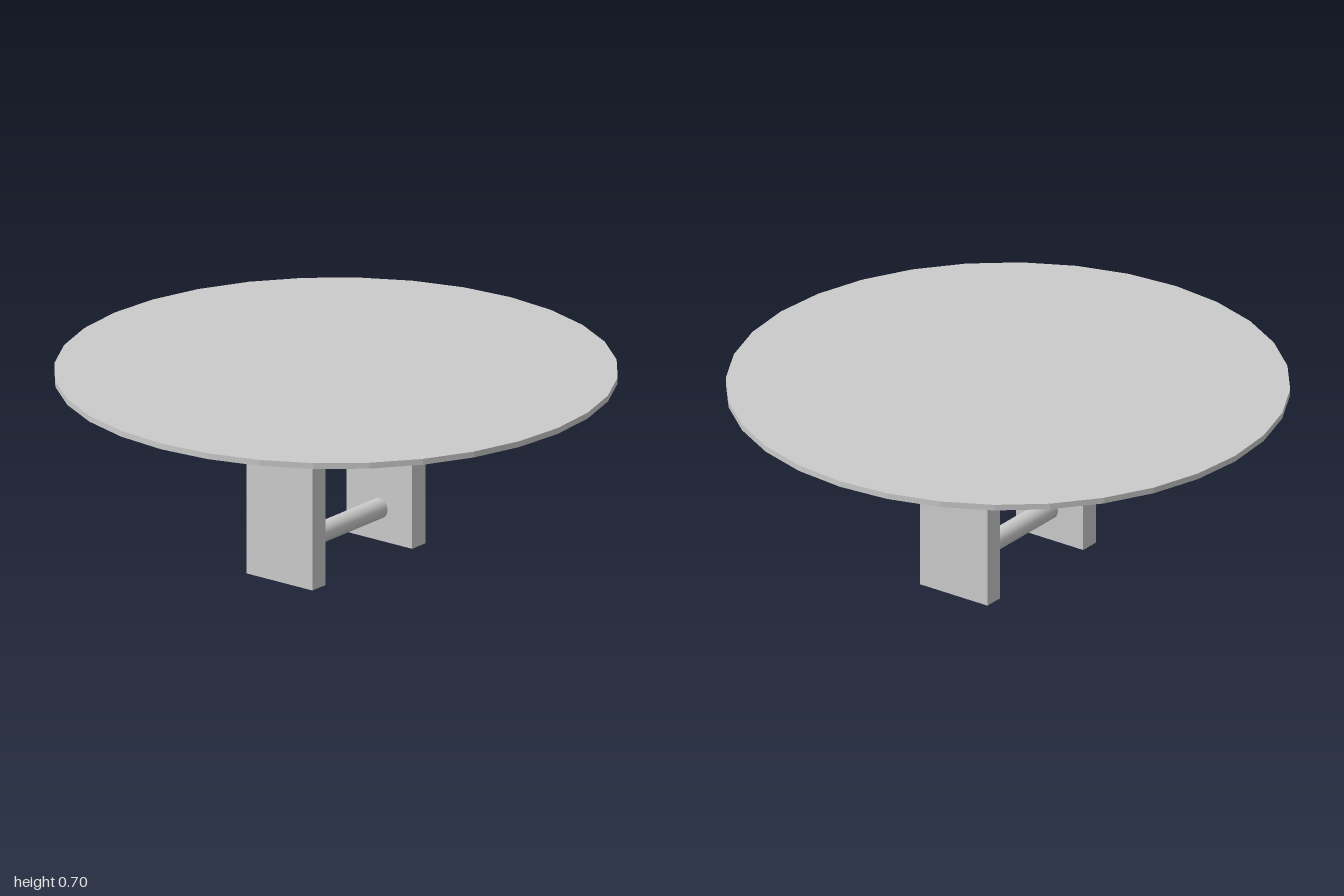
import * as THREE from 'three';

export function createModel() {
  const group = new THREE.Group();
  const flat = new THREE.MeshStandardMaterial({ color: 0xcccccc, flatShading: true });
  const smooth = new THREE.MeshStandardMaterial({ color: 0xcccccc });

  const add = (name, geometry, material, x, y, z) => {
    const mesh = new THREE.Mesh(geometry, material);
    mesh.name = name;
    mesh.position.set(x, y, z);
    group.add(mesh);
    return mesh;
  };

  const topHeight = 0.705, topThickness = 0.022;
  const legHeight = topHeight - topThickness;
  const legWidth = 0.296, legDepth = 0.075, legZ = 0.285;

  // Thin round table top with 32 straight edge facets
  add('tableTop', new THREE.CylinderGeometry(1, 1, topThickness, 32), flat,
    0, topHeight - topThickness / 2, 0);

  // Two slab legs, front and back
  for (const [name, side] of [['frontLeg', 1], ['backLeg', -1]]) {
    add(name, new THREE.BoxGeometry(legWidth, legHeight, legDepth), flat,
      0, legHeight / 2, side * legZ);
  }

  // Round stretcher rod between the legs
  const rodLength = 2 * legZ - legDepth;
  const rod = add('stretcher', new THREE.CylinderGeometry(0.037, 0.037, rodLength, 32), smooth,
    0, 0.121, 0);
  rod.rotation.x = Math.PI / 2;

  return group;
}
